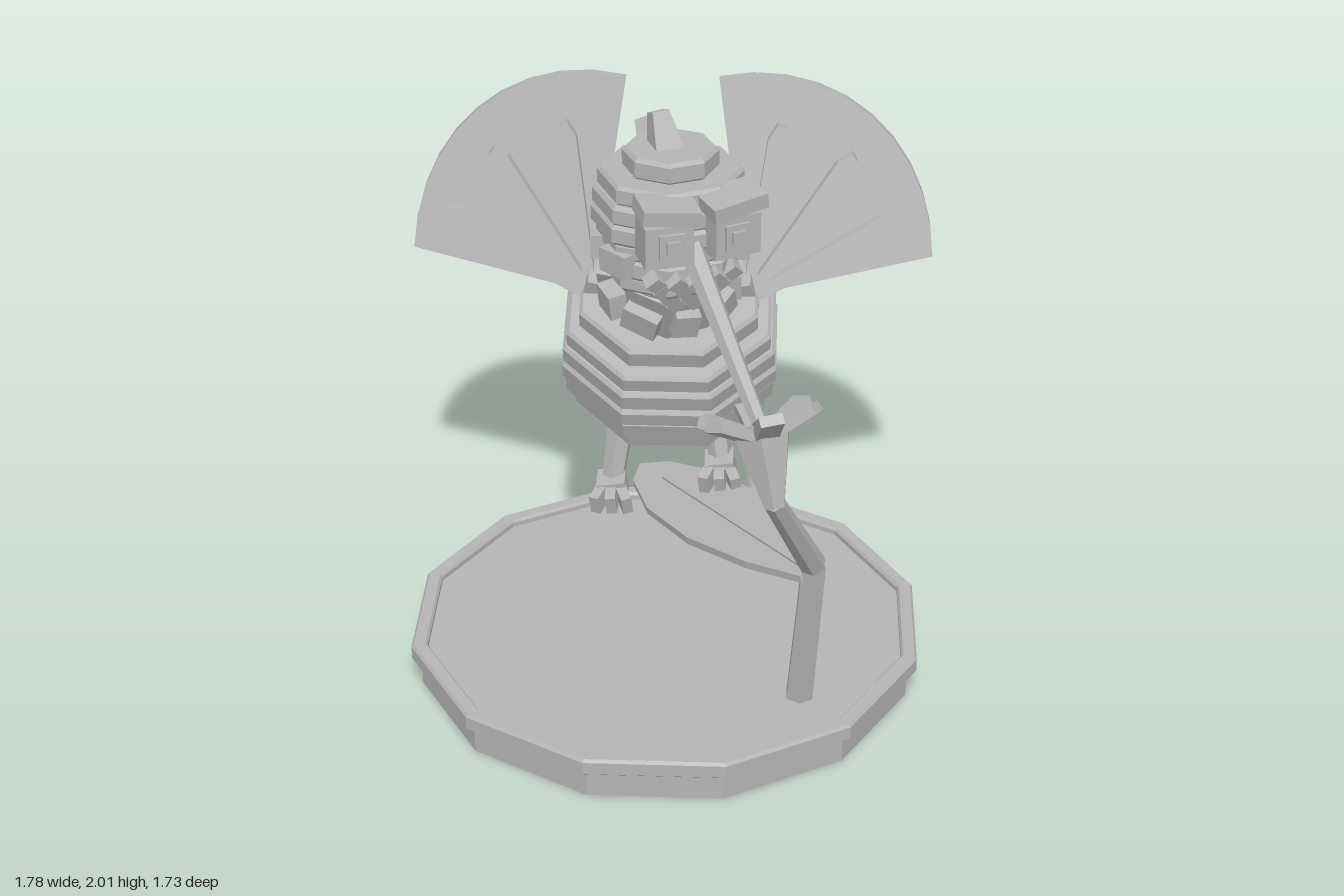
import * as THREE from 'three';

const V = (x, y, z) => new THREE.Vector3(x, y, z);
const UP = V(0, 1, 0);

export function createModel() {
  const root = new THREE.Group();
  const clay = new THREE.MeshStandardMaterial({ color: 0xb4b4b4 });
  clay.name = 'clayGrey';

  // Faceted mesh with hard edges
  const add = (name, geometry, parent = root) => {
    const g = geometry.index ? geometry.toNonIndexed() : geometry;
    g.computeVertexNormals();
    const mesh = new THREE.Mesh(g, clay);
    mesh.name = name;
    parent.add(mesh);
    return mesh;
  };
  const group = (name, parent = root) => {
    const g = new THREE.Group();
    g.name = name;
    parent.add(g);
    return g;
  };
  const box = (name, size, pos, rot = [0, 0, 0], parent = root) => {
    const m = add(name, new THREE.BoxGeometry(...size), parent);
    m.position.set(...pos);
    m.rotation.set(...rot);
    return m;
  };
  // Tapered bar from a to b
  const rod = (name, a, b, r0, r1, sides = 6, parent = root) => {
    const dir = b.clone().sub(a);
    const m = add(name, new THREE.CylinderGeometry(r1, r0, dir.length(), sides), parent);
    m.position.copy(a).addScaledVector(dir, 0.5);
    m.quaternion.setFromUnitVectors(UP, dir.normalize());
    return m;
  };
  const lathe = (points, sides) => new THREE.LatheGeometry(
    points.map(([x, y]) => new THREE.Vector2(x, y)), sides).rotateY(Math.PI / sides);
  // Bevelled octagonal layer; r is the distance to its flat sides
  const disc = (name, r, h, y, parent) => {
    const R = r / Math.cos(Math.PI / 8), b = 0.012;
    const m = add(name, lathe([[0, 0], [R - b, 0], [R, b], [R, h - b], [R - b, h], [0, h]], 8), parent);
    m.position.y = y;
    return m;
  };
  const plate = (points, depth) => new THREE.ExtrudeGeometry(
    new THREE.Shape(points.map(([x, y]) => new THREE.Vector2(x, y))), { depth, bevelEnabled: false });

  // Twelve-sided base with raised rim
  add('base', lathe([[0, 0], [0.862, 0], [0.862, 0.1], [0.886, 0.1], [0.896, 0.108], [0.896, 0.152],
    [0.888, 0.162], [0.848, 0.162], [0.84, 0.152], [0.84, 0.135], [0, 0.135]], 12));

  // Stem and flower
  const joint = V(0.5, 0.69, 0.5), neckOfFlower = V(0.365, 1.065, 0.73), mouth = V(0.325, 1.265, 0.655);
  rod('lowerStem', V(0.465, 0.12, 0.43), joint.clone().add(V(0, 0.02, 0.005)), 0.05, 0.044);
  rod('upperStem', joint, neckOfFlower, 0.044, 0.034);
  rod('flowerTrumpet', neckOfFlower.clone().add(V(0.003, -0.015, 0.006)), mouth, 0.035, 0.095);
  const flower = group('flowerPetals');
  flower.position.copy(mouth);
  flower.quaternion.setFromUnitVectors(UP, mouth.clone().sub(neckOfFlower).normalize());
  for (let i = 0; i < 6; i++) {
    const arm = group('petalArm', flower);
    arm.rotation.y = i * Math.PI / 3 + 0.25;
    box('petal', [0.075, 0.035, 0.14], [0, 0.035, 0.125], [-0.43, 0, 0], arm);
  }

  // Leaf perch, tilted along and across
  const leaf = group('leaf');
  const along = V(-0.574, -0.115, -0.819).normalize();
  const across = V(0.819, 0.16, -0.574);
  across.addScaledVector(along, -across.dot(along)).normalize();
  leaf.matrix.makeBasis(across, along, across.clone().cross(along)).setPosition(0.5, 0.65, 0.5);
  leaf.matrix.decompose(leaf.position, leaf.quaternion, leaf.scale);
  const leafHalf = [[0.05, 0], [0.12, 0.22], [0.165, 0.5], [0.15, 0.78], [0.08, 0.98]];
  add('leafBlade', plate([...leafHalf, [0, 1.06],
    ...leafHalf.map(([x, y]) => [-x, y]).reverse()], 0.028), leaf);
  add('leafRib', plate([[-0.02, 0], [0.02, 0], [0.006, 0.9], [-0.006, 0.9]], 0.036), leaf);

  // Layered body leaning forward
  const body = group('body');
  body.position.set(0, 1.06, -0.36);
  body.rotation.x = 0.36;
  [0.25, 0.325, 0.355, 0.365, 0.36, 0.345, 0.3].forEach((r, i) =>
    disc('bodyLayer', r, i % 2 ? 0.076 : 0.082, -0.275 + i * 0.076, body));
  rod('neck', V(0, 1.26, -0.25), V(0.01, 1.48, -0.1), 0.2, 0.17, 8);

  // Ruff of loose feathers around the neck
  for (let i = 0; i < 9; i++) {
    const a = i * Math.PI * 2 / 9 + 0.3;
    const s = 0.085 + 0.02 * (i % 3);
    box('ruffFeather', [s, 0.09, 0.075],
      [0.2 * Math.sin(a), 1.355 - 0.05 * Math.cos(a), -0.2 + 0.19 * Math.cos(a)],
      [0.35, a, 0.2 * (i % 2 ? 1 : -1)]);
  }

  // Fan tail below the back of the body
  const tail = group('tail');
  tail.position.set(0, 0.87, -0.53);
  tail.rotation.x = 0.57;
  for (let i = -2; i <= 2; i++) {
    const arm = group('tailArm', tail);
    arm.rotation.z = i * 0.34;
    arm.position.z = 0.012 * (i % 2);
    const half = [[0.018, 0.02], [0.04, -0.22], [0.025, -0.32 + 0.015 * Math.abs(i)]];
    add('tailFeather', plate([...half, ...half.map(([x, y]) => [-x, y]).reverse()], 0.03), arm);
  }
  box('tailCovert', [0.14, 0.06, 0.1], [0, 0.99, -0.67], [0.36, 0, 0]);
  for (const s of [-1, 1]) box('sideCovert', [0.08, 0.06, 0.06], [s * 0.2, 0.85, -0.45], [0.36, 0, 0]);

  // Legs and three-toed feet
  for (const [x, y, z] of [[0.18, 0.665, -0.18], [-0.195, 0.575, -0.18]]) {
    const s = Math.sign(x);
    rod('leg', V(s * 0.16, 0.85, -0.25), V(x, y, z - 0.02), 0.05, 0.04);
    box('foot', [0.1, 0.07, 0.1], [x, y, z], [0.1, 0, 0.15]);
    for (const t of [-1, 0, 1]) {
      box('toe', [0.036, 0.07, 0.08], [x + t * 0.043, y - 0.02, z + 0.06], [0.25, t * 0.35, 0.1]);
    }
  }

  // Fan wings: flat sectors swept backwards, with quills on the front
  for (const s of [-1, 1]) {
    const wing = group(s > 0 ? 'leftWing' : 'rightWing');
    wing.position.set(s * 0.26, 1.275, -0.295);
    const sweep = new THREE.Matrix4().set(1, 0, 0, 0, 0, 1, 0, 0, -0.31 * s, -0.37, 1, 0, 0, 0, 0, 1);
    const polar = (a, r, side = 0) => [
      s * (Math.cos(a) * r - Math.sin(a) * side), Math.sin(a) * r + Math.cos(a) * side];
    const outline = [[0, 0]];
    for (let i = 0; i <= 10; i++) outline.push(polar(0.09 + i * 0.163, 0.635 + 0.0065 * i));
    add('wingFan', plate(outline, 0.03).applyMatrix4(sweep), wing);
    [0.38, 0.87, 1.38].forEach((a) => {
      const quill = [[0, -0.018], [0.48, -0.035], [0.54, -0.022], [0.55, 0.01], [0.5, 0.034], [0, 0.018]];
      const g = plate(quill.map(([r, w]) => polar(a, r, w)), 0.04).translate(0, 0, 0.025);
      add('wingQuill', g.applyMatrix4(sweep), wing);
    });
    box('shoulder', [0.12, 0.1, 0.1], [s * 0.23, 1.3, -0.28], [0.36, 0, s * 0.3]);
  }

  // Head, turned towards the flower
  const head = group('head');
  head.position.set(0.01, 0, -0.085);
  head.rotation.y = 0.41;
  [[0.12, 1.4, 0.07], [0.205, 1.455, 0.06], [0.225, 1.51, 0.07], [0.225, 1.575, 0.06], [0.24, 1.63, 0.07],
    [0.235, 1.695, 0.07], [0.22, 1.76, 0.07], [0.145, 1.825, 0.075]].forEach(([r, y, h]) =>
    disc('headLayer', r, h, y, head));

  // Cheek tufts around the lower head
  for (let i = 0; i < 8; i++) {
    const a = (i + 0.5) * Math.PI / 4;
    if (Math.cos(a) > 0.8) continue;
    box('cheekTuft', [0.12, 0.08, 0.07], [0.225 * Math.sin(a), 1.565, 0.225 * Math.cos(a)], [0, a, 0], head);
  }

  // Eyes and brows
  for (const s of [-1, 1]) {
    const x = s * 0.11;
    box('eyeSocket', [0.16, 0.14, 0.13], [x, 1.69, 0.235], [0, s * 0.1, 0], head);
    box('eye', [0.085, 0.085, 0.03], [x, 1.695, 0.298], [0, s * 0.1, 0], head);
    box('pupil', [0.045, 0.045, 0.015], [x, 1.695, 0.316], [0, s * 0.1, 0], head);
    box('brow', [0.19, 0.05, 0.14], [x, 1.8, 0.255], [0.05, s * 0.1, s * 0.12], head);
  }

  // Throat scales in offset rows
  for (let row = 0; row < 4; row++) {
    const n = 5 - row;
    for (let i = 0; i < n; i++) {
      const x = (i - (n - 1) / 2) * 0.066;
      box('throatScale', [0.05, 0.05, 0.05], [x, 1.53 - row * 0.042, 0.235 - row * 0.038 - x * x * 2],
        [0.4, 0, Math.PI / 4], head);
    }
  }

  // Crest tufts
  const crest = rod('crest', V(-0.01, 1.87, -0.01), V(-0.02, 2.0, -0.06), 0.07, 0.04, 4, head);
  crest.rotateY(Math.PI / 4);
  rod('rearTuft', V(0, 1.8, -0.16), V(0, 1.9, -0.24), 0.045, 0.035, 4, head);

  // Long beak reaching into the flower
  rod('beak', V(0.085, 1.64, 0.13), V(0.315, 1.285, 0.62), 0.042, 0.026);
  return root;
}
